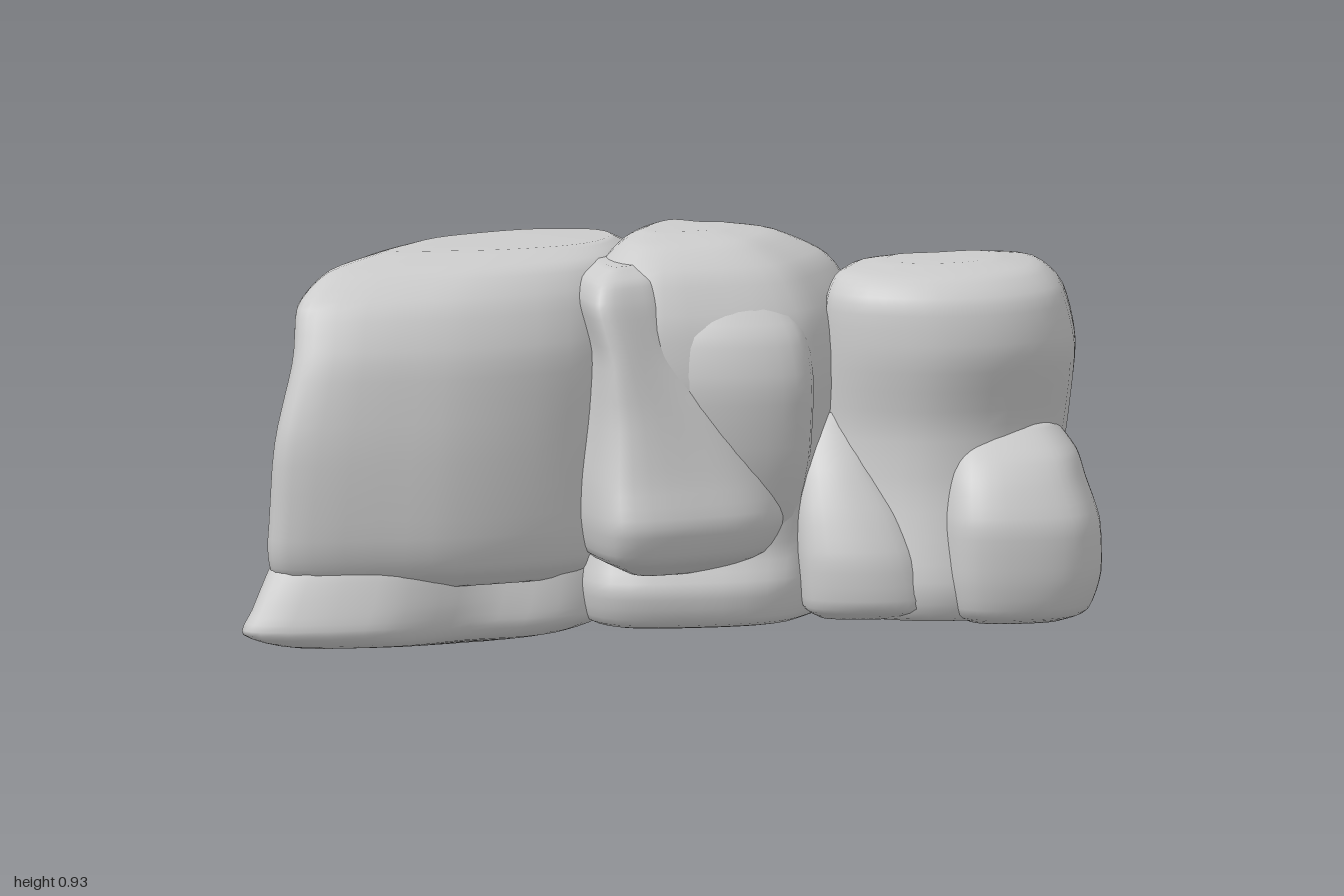
import * as THREE from 'three';

const material = new THREE.MeshStandardMaterial({ color: 0xcccccc });
const AROUND = 40, STEPS = 4;

// Gentle, repeatable surface lumps
const lump = (x, y, z) =>
  Math.sin(x * 9 + y * 5) * Math.sin(y * 8 - z * 7 + 1) * Math.sin(z * 9 + x * 4 + 2);

// Boulder: a plan outline [x, z] (clockwise from above), refitted at each
// level to the bounds [y, xMin, xMax, zMin, zMax], and skinned smoothly.
function rock(name, plan, levels) {
  const loop = new THREE.CatmullRomCurve3(
    plan.map(([x, z]) => new THREE.Vector3(x, 0, z)), true, 'centripetal');
  const outline = Array.from({ length: AROUND }, (_, i) => loop.getPoint(i / AROUND));
  const box = new THREE.Box3().setFromPoints(outline);
  const size = box.getSize(new THREE.Vector3());
  const low = new THREE.CatmullRomCurve3(
    levels.map(l => new THREE.Vector3(l[1], l[0], l[3])), false, 'catmullrom', 0.35);
  const high = new THREE.CatmullRomCurve3(
    levels.map(l => new THREE.Vector3(l[2], l[0], l[4])), false, 'catmullrom', 0.35);

  const rows = (levels.length - 1) * STEPS;
  const pos = [], index = [], mids = [];
  for (let r = 0; r <= rows; r++) {
    const a = low.getPoint(r / rows), b = high.getPoint(r / rows);
    const mid = a.clone().add(b).multiplyScalar(0.5);
    mids.push(mid);
    for (const p of outline) {
      const x = a.x + (b.x - a.x) * (p.x - box.min.x) / size.x;
      const z = a.z + (b.z - a.z) * (p.z - box.min.z) / size.z;
      const s = 1 + 0.03 * lump(x, a.y, z);
      pos.push(mid.x + (x - mid.x) * s, a.y, mid.z + (z - mid.z) * s);
    }
  }
  for (let r = 0; r < rows; r++) for (let i = 0; i < AROUND; i++) {
    const n = (i + 1) % AROUND;
    const a = r * AROUND + i, b = r * AROUND + n, c = a + AROUND, d = b + AROUND;
    index.push(a, c, b, b, c, d);
  }
  // Close the bottom and the top
  const base = pos.length / 3;
  pos.push(...mids[0].toArray(), ...mids[rows].toArray());
  for (let i = 0; i < AROUND; i++) {
    const n = (i + 1) % AROUND, t = rows * AROUND;
    index.push(base, i, n, base + 1, t + n, t + i);
  }
  const geo = new THREE.BufferGeometry();
  geo.setAttribute('position', new THREE.Float32BufferAttribute(pos, 3));
  geo.setIndex(index);
  geo.computeVertexNormals();
  const mesh = new THREE.Mesh(geo, material);
  mesh.name = name;
  return mesh;
}

const ROUND = [[-0.9, 0.7], [-1, 0], [-0.8, -0.8], [0, -1], [0.8, -0.85], [1, 0], [0.85, 0.8], [0, 1]];

export function createModel() {
  const group = new THREE.Group();
  group.name = 'rockFormation';

  // Broad diagonal wall, overhanging at the inner front
  group.add(rock('wallBoulder',
    [[-1, 0.36], [-0.88, 0.08], [-0.74, -0.18], [-0.55, -0.34], [-0.35, -0.45], [-0.2, -0.46],
      [-0.06, -0.41], [0, -0.22], [-0.08, 0.1], [-0.24, 0.28], [-0.52, 0.4], [-0.72, 0.42], [-0.95, 0.41]],
    [[0.16, -0.88, -0.05, -0.37, 0.33], [0.2, -0.93, -0.02, -0.41, 0.38],
      [0.28, -0.945, 0, -0.455, 0.4], [0.5, -0.92, 0, -0.44, 0.4], [0.68, -0.89, 0, -0.43, 0.38],
      [0.8, -0.865, 0, -0.41, 0.32], [0.87, -0.78, -0.03, -0.34, 0.23], [0.9, -0.62, -0.08, -0.25, 0.08]]));
  // Flared foot with a shallow keel, set back under the overhang
  group.add(rock('wallFoot',
    [[-1, 0.36], [-0.88, 0.08], [-0.74, -0.18], [-0.55, -0.34], [-0.35, -0.44], [-0.12, -0.42],
      [-0.02, -0.25], [-0.1, 0.1], [-0.24, 0.24], [-0.45, 0.3], [-0.6, 0.38], [-0.72, 0.42], [-0.96, 0.41]],
    [[0, -0.54, -0.38, 0, 0.12], [0.03, -0.87, -0.15, -0.3, 0.37], [0.065, -0.99, -0.03, -0.42, 0.42],
      [0.12, -0.97, -0.01, -0.44, 0.41], [0.2, -0.94, -0.01, -0.435, 0.38], [0.27, -0.9, -0.05, -0.38, 0.33]]));

  // Tall middle boulder with a pointed back
  group.add(rock('middleBoulder',
    [[0.1, -0.43], [0.3, -0.26], [0.47, -0.22], [0.49, -0.08], [0.41, 0.1], [0.3, 0.25],
      [0.08, 0.3], [-0.14, 0.28], [-0.2, 0.08], [-0.02, -0.33]],
    [[0.04, -0.1, 0.32, -0.22, 0.22], [0.06, -0.18, 0.42, -0.34, 0.32], [0.14, -0.2, 0.44, -0.37, 0.34],
      [0.22, -0.19, 0.45, -0.36, 0.3], [0.32, -0.18, 0.47, -0.42, 0.29], [0.58, -0.18, 0.49, -0.43, 0.32],
      [0.74, -0.17, 0.48, -0.42, 0.3], [0.85, -0.14, 0.41, -0.35, 0.24], [0.91, -0.08, 0.29, -0.25, 0.16],
      [0.93, -0.02, 0.18, -0.15, 0.05]]));

  // Slanted outcrop on the front, narrowing to a blunt column
  group.add(rock('frontOutcrop',
    [[-0.2, 0.02], [0.05, -0.02], [0.27, 0.02], [0.28, 0.22], [0.21, 0.34], [0.08, 0.41],
      [-0.15, 0.46], [-0.21, 0.3]],
    [[0.18, -0.12, 0.17, 0, 0.35], [0.22, -0.19, 0.25, 0, 0.43], [0.3, -0.21, 0.28, 0, 0.46],
      [0.4, -0.21, 0.25, 0, 0.43], [0.55, -0.19, 0.17, 0, 0.39], [0.68, -0.18, 0.06, 0, 0.365],
      [0.79, -0.205, 0.02, 0, 0.34], [0.845, -0.19, 0, 0, 0.3], [0.875, -0.14, -0.04, 0.04, 0.22]]));
  // Soft swelling beside the column
  group.add(rock('upperShoulder', ROUND,
    [[0.2, 0.05, 0.28, 0, 0.24], [0.42, -0.04, 0.33, -0.05, 0.31], [0.6, -0.06, 0.34, -0.05, 0.335],
      [0.72, -0.06, 0.32, -0.05, 0.31], [0.82, -0.02, 0.26, -0.05, 0.23]]));

  // Separate block at the end, tucked in at the lower back
  group.add(rock('endBoulder',
    [[0.38, 0.12], [0.42, -0.04], [0.5, -0.19], [0.7, -0.23], [0.87, -0.28], [0.96, -0.24],
      [0.97, -0.04], [0.92, 0.16], [0.78, 0.28], [0.6, 0.31], [0.45, 0.24]],
    [[0.05, 0.5, 0.85, -0.1, 0.24], [0.065, 0.4, 0.94, -0.16, 0.33], [0.15, 0.38, 0.97, -0.18, 0.35],
      [0.35, 0.37, 0.95, -0.25, 0.3], [0.5, 0.37, 0.97, -0.28, 0.29], [0.66, 0.38, 0.98, -0.26, 0.32],
      [0.78, 0.38, 0.95, -0.22, 0.3], [0.835, 0.41, 0.89, -0.18, 0.24], [0.855, 0.52, 0.78, -0.08, 0.12]]));

  // Swollen foot merging into the block, and a stone wedged in the gap
  group.add(rock('cornerFoot',
    [[0.62, 0.35], [0.6, 0.1], [0.65, -0.15], [0.85, -0.17], [0.97, -0.1], [1, 0.1],
      [0.99, 0.27], [0.93, 0.38], [0.82, 0.42], [0.68, 0.41]],
    [[0.05, 0.68, 0.92, 0, 0.33], [0.075, 0.64, 0.97, -0.08, 0.4], [0.16, 0.62, 1, -0.12, 0.42],
      [0.28, 0.62, 1, -0.12, 0.415], [0.37, 0.63, 0.97, -0.12, 0.37], [0.43, 0.64, 0.95, -0.12, 0.32],
      [0.5, 0.65, 0.9, -0.12, 0.22]]));
  group.add(rock('gapStone', ROUND,
    [[0.06, 0.35, 0.55, 0.1, 0.28], [0.09, 0.31, 0.6, 0.02, 0.35], [0.2, 0.3, 0.58, 0, 0.35],
      [0.3, 0.3, 0.54, 0, 0.31], [0.4, 0.31, 0.48, 0, 0.25], [0.52, 0.33, 0.44, 0, 0.15]]));
  return group;
}
